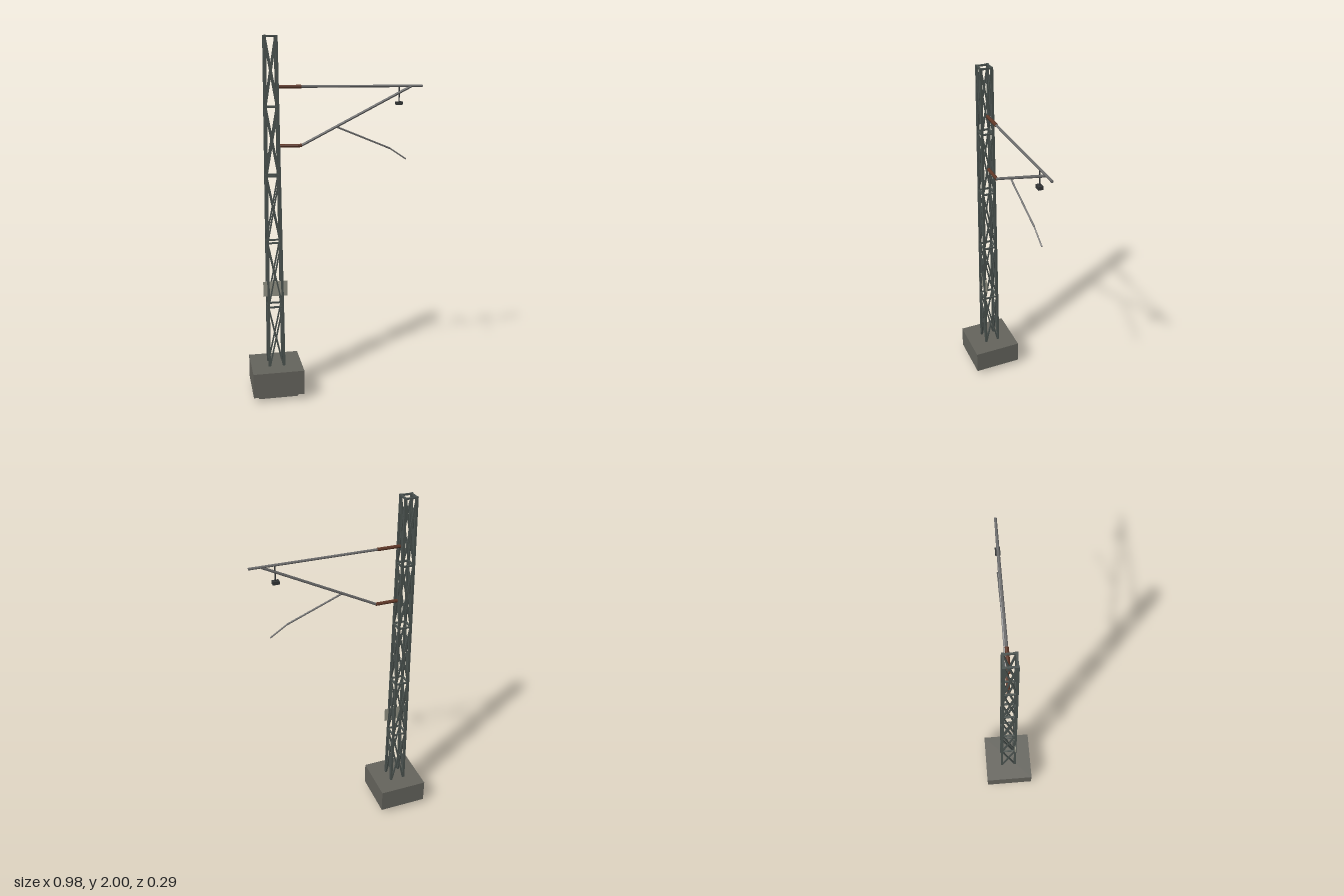
import * as THREE from 'three';

const UP = new THREE.Vector3(0, 1, 0);
const V = (x, y, z = 0) => new THREE.Vector3(x, y, z);
const mat = (color) => new THREE.MeshStandardMaterial({ color, flatShading: true });

const steel = mat(0x4a524f);
const tube = mat(0x6b6b6b);
const brown = mat(0x5e3626);
const concrete = mat(0x64635c);
const dark = mat(0x333536);
const plateMat = mat(0x929284);

// Straight member between two points: square bar, or round when sides is given
function member(parent, name, a, b, width, material, sides = 0) {
  const length = a.distanceTo(b);
  const geometry = sides
    ? new THREE.CylinderGeometry(width / 2, width / 2, length, sides)
    : new THREE.BoxGeometry(width, length, width);
  const mesh = new THREE.Mesh(geometry, material);
  mesh.name = name;
  mesh.position.copy(a).lerp(b, 0.5);
  mesh.quaternion.setFromUnitVectors(UP, b.clone().sub(a).normalize());
  parent.add(mesh);
}

function box(parent, name, size, position, material) {
  const mesh = new THREE.Mesh(new THREE.BoxGeometry(...size), material);
  mesh.name = name;
  mesh.position.set(...position);
  parent.add(mesh);
}

export function createModel() {
  const model = new THREE.Group();
  model.name = 'latticeMast';
  const mastX = -0.35;

  // Concrete footing with a low open frame under it
  const footing = new THREE.Group();
  footing.name = 'footing';
  box(footing, 'footingBlock', [0.286, 0.14, 0.286], [mastX, 0.1, 0], concrete);
  for (const s of [-1, 1]) {
    box(footing, 'footingFrameSide', [0.22, 0.03, 0.02], [mastX, 0.015, s * 0.09], concrete);
    box(footing, 'footingFrameEnd', [0.02, 0.03, 0.16], [mastX + s * 0.1, 0.015, 0], concrete);
  }
  model.add(footing);

  // Tapered four-legged lattice tower
  const tower = new THREE.Group();
  tower.name = 'tower';
  tower.position.x = mastX;
  const levels = [0.15, 0.52, 0.89, 1.26, 1.63, 1.995];
  const half = (y) => THREE.MathUtils.mapLinear(y, 0.15, 2, 0.042, 0.03);
  const signs = [[1, 1], [-1, 1], [-1, -1], [1, -1]];
  const corner = (i, y) => V(signs[i % 4][0] * half(y), y, signs[i % 4][1] * half(y));
  for (let i = 0; i < 4; i++) {
    member(tower, 'leg', corner(i, 0.15), corner(i, 2), 0.013, steel);
    for (let k = 0; k < levels.length - 1; k++) {
      const [lo, hi] = [levels[k], levels[k + 1]];
      member(tower, 'crossBrace', corner(i, lo), corner(i + 1, hi), 0.008, steel);
      member(tower, 'crossBrace', corner(i + 1, lo), corner(i, hi), 0.008, steel);
      member(tower, 'ringBar', corner(i, hi), corner(i + 1, hi), 0.009, steel);
    }
  }
  model.add(tower);

  // Number plate on the front face
  box(model, 'plate', [0.134, 0.085, 0.005], [mastX, 0.628, 0.037], plateMat);

  // Cantilever: insulators, top tube, diagonal tube and registration arm
  const cantilever = new THREE.Group();
  cantilever.name = 'cantilever';
  for (const y of [1.735, 1.42]) {
    member(cantilever, 'insulator', V(-0.315, y), V(-0.187, y), 0.019, brown, 8);
  }
  member(cantilever, 'topTube', V(-0.19, 1.735), V(0.49, 1.735), 0.014, tube, 8);
  member(cantilever, 'diagonalTube', V(-0.19, 1.42), V(0.425, 1.733), 0.015, tube, 8);
  member(cantilever, 'registrationArm', V(0, 1.52), V(0.31, 1.393), 0.01, tube, 8);
  member(cantilever, 'registrationTip', V(0.308, 1.394), V(0.402, 1.332), 0.008, tube, 8);

  // Wire clamp hanging from the top tube
  member(cantilever, 'hanger', V(0.357, 1.645), V(0.357, 1.735), 0.008, dark, 8);
  box(cantilever, 'wireClamp', [0.036, 0.018, 0.026], [0.357, 1.642, 0], dark);
  model.add(cantilever);

  return model;
}
